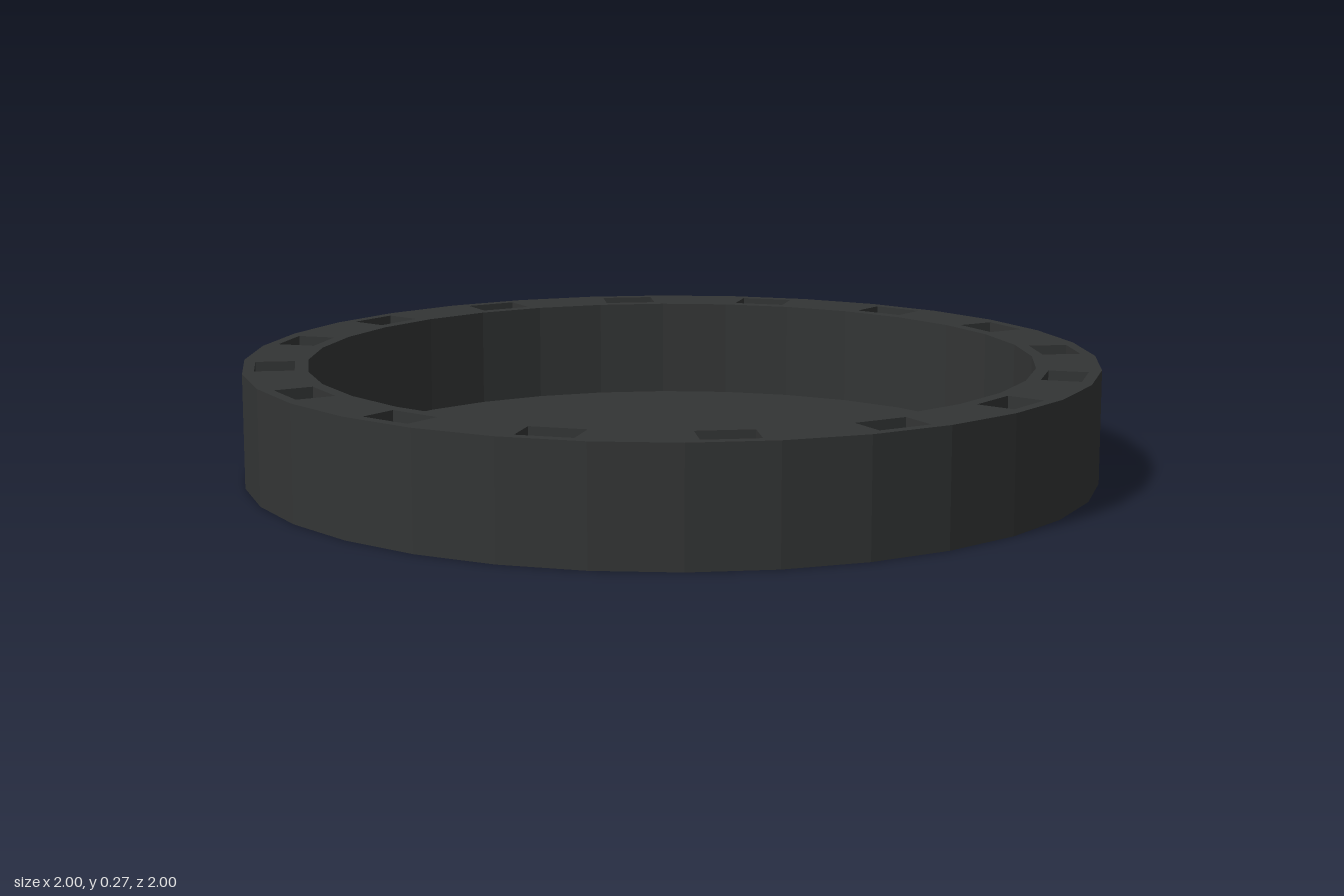
import * as THREE from 'three';

const SIDES = 32, POCKETS = 16;
const HEIGHT = 0.266, FLOOR = 0.03, OUTER = 1, INNER = 0.85;
const POCKET = { radius: 0.923, radial: 0.092, width: 0.128, depth: 0.03 };

export function createModel() {
  const group = new THREE.Group();
  const material = new THREE.MeshStandardMaterial({ color: 0x333535, flatShading: true });

  const add = (name, geometry) => {
    const mesh = new THREE.Mesh(geometry, material);
    mesh.name = name;
    group.add(mesh);
    return mesh;
  };
  const lathe = (points) =>
    new THREE.LatheGeometry(points.map(([r, y]) => new THREE.Vector2(r, y)), SIDES);
  const polygon = (radius) => Array.from({ length: SIDES }, (_, i) => {
    const a = (i / SIDES) * Math.PI * 2;
    return new THREE.Vector2(radius * Math.cos(a), radius * Math.sin(a));
  });

  // Underside with outer wall, and the recessed floor with inner wall
  add('outerShell', lathe([[0, 0], [OUTER, 0], [OUTER, HEIGHT]]));
  add('innerRecess', lathe([[INNER, HEIGHT], [INNER, FLOOR], [0, FLOOR]]));

  // Pocket lining: an inward-facing box without its top
  const lining = new THREE.BoxGeometry(POCKET.radial, POCKET.depth, POCKET.width);
  const index = Array.from(lining.index.array);
  index.splice(12, 6);
  lining.setIndex(index.reverse());
  lining.clearGroups();
  lining.computeVertexNormals();

  // Rim top, pierced by a pocket on every second facet
  const rim = new THREE.Shape(polygon(OUTER));
  rim.holes.push(new THREE.Path(polygon(INNER)));
  const corners = [[-1, -1], [1, -1], [1, 1], [-1, 1]];
  for (let i = 0; i < POCKETS; i++) {
    const angle = Math.PI / SIDES + (i / POCKETS) * Math.PI * 2;
    rim.holes.push(new THREE.Path(corners.map(([u, v]) =>
      new THREE.Vector2(POCKET.radius + u * POCKET.radial / 2, v * POCKET.width / 2)
        .rotateAround(new THREE.Vector2(), angle))));

    const pocket = add('rimPocket', lining);
    pocket.position.set(
      POCKET.radius * Math.cos(angle),
      HEIGHT - POCKET.depth / 2,
      -POCKET.radius * Math.sin(angle));
    pocket.rotation.y = angle;
  }
  add('rimTop', new THREE.ShapeGeometry(rim).rotateX(-Math.PI / 2).translate(0, HEIGHT, 0));

  return group;
}
